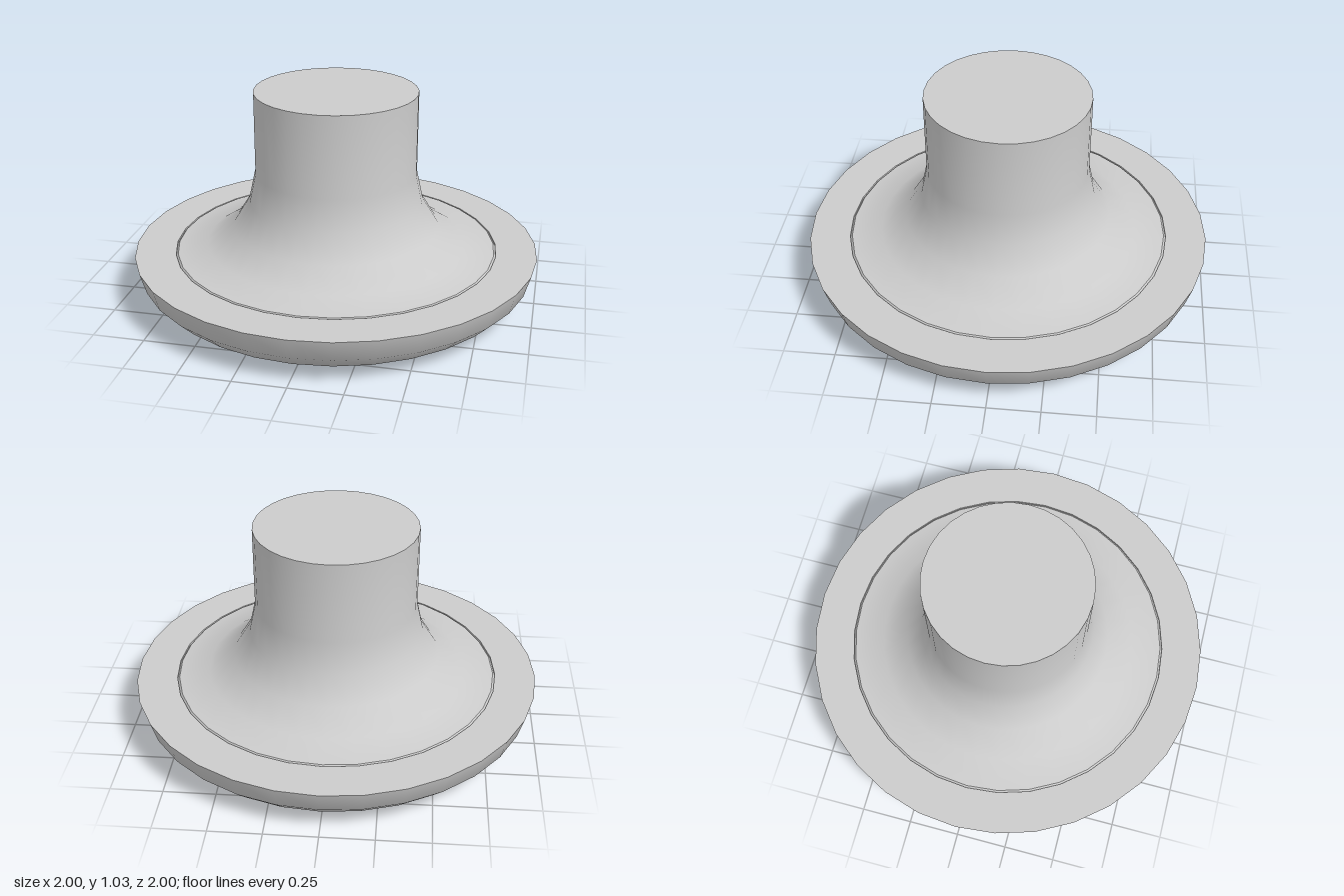
import * as THREE from 'three';
import { toCreasedNormals } from 'three/addons/utils/BufferGeometryUtils.js';

const SIDES = 32;

export function createModel() {
  const model = new THREE.Group();
  const material = new THREE.MeshStandardMaterial({ color: 0xcccccc });

  // Turns a profile of [radius, height] points, listed counter-clockwise.
  function turned(name, profile) {
    const points = profile.map(([r, y]) => new THREE.Vector2(r, y));
    const geometry = toCreasedNormals(new THREE.LatheGeometry(points, SIDES), 0.68);
    const mesh = new THREE.Mesh(geometry, material);
    mesh.name = name;
    model.add(mesh);
  }

  // Outer ring: rounded outside, upright inner wall, flat top
  turned('outerRing', [
    [0.8, 0.235], [0.8, 0.04], [0.83, 0.04], [0.9, 0.06],
    [0.97, 0.13], [1, 0.235], [0.8, 0.235],
  ]);

  // Flared hood running up into the closed duct collar
  turned('hoodAndCollar', [
    [0, 0.225], [0.8, 0.225], [0.79, 0.237], [0.77, 0.24], [0.64, 0.265],
    [0.51, 0.35], [0.43, 0.48], [0.397, 0.63], [0.397, 1.035], [0, 1.035],
  ]);

  // Two nested flared louvres with thin rims, hung from the hood
  const louvres = [
    { name: 'outerLouvre', neck: 0.385, rim: 0.62 },
    { name: 'innerLouvre', neck: 0.2, rim: 0.41 },
  ];
  const flare = [[1, 0.055], [0.62, 0.07], [0.3, 0.11], [0.08, 0.17], [0, 0.23]];
  for (const { name, neck, rim } of louvres) {
    const outside = flare.map(([t, y]) => [neck + (rim - neck) * t, y]);
    const inside = outside.map(([r, y]) => [r - 0.015, y - 0.012]).reverse();
    turned(name, [...inside, [rim, 0.04], ...outside]);
  }

  // Central plug: shallow domed face below a narrow stem
  turned('centrePlug', [
    [0, 0], [0.08, 0.004], [0.15, 0.015], [0.22, 0.038], [0.215, 0.05],
    [0.175, 0.075], [0.145, 0.12], [0.135, 0.17], [0.135, 0.23],
  ]);

  return model;
}
